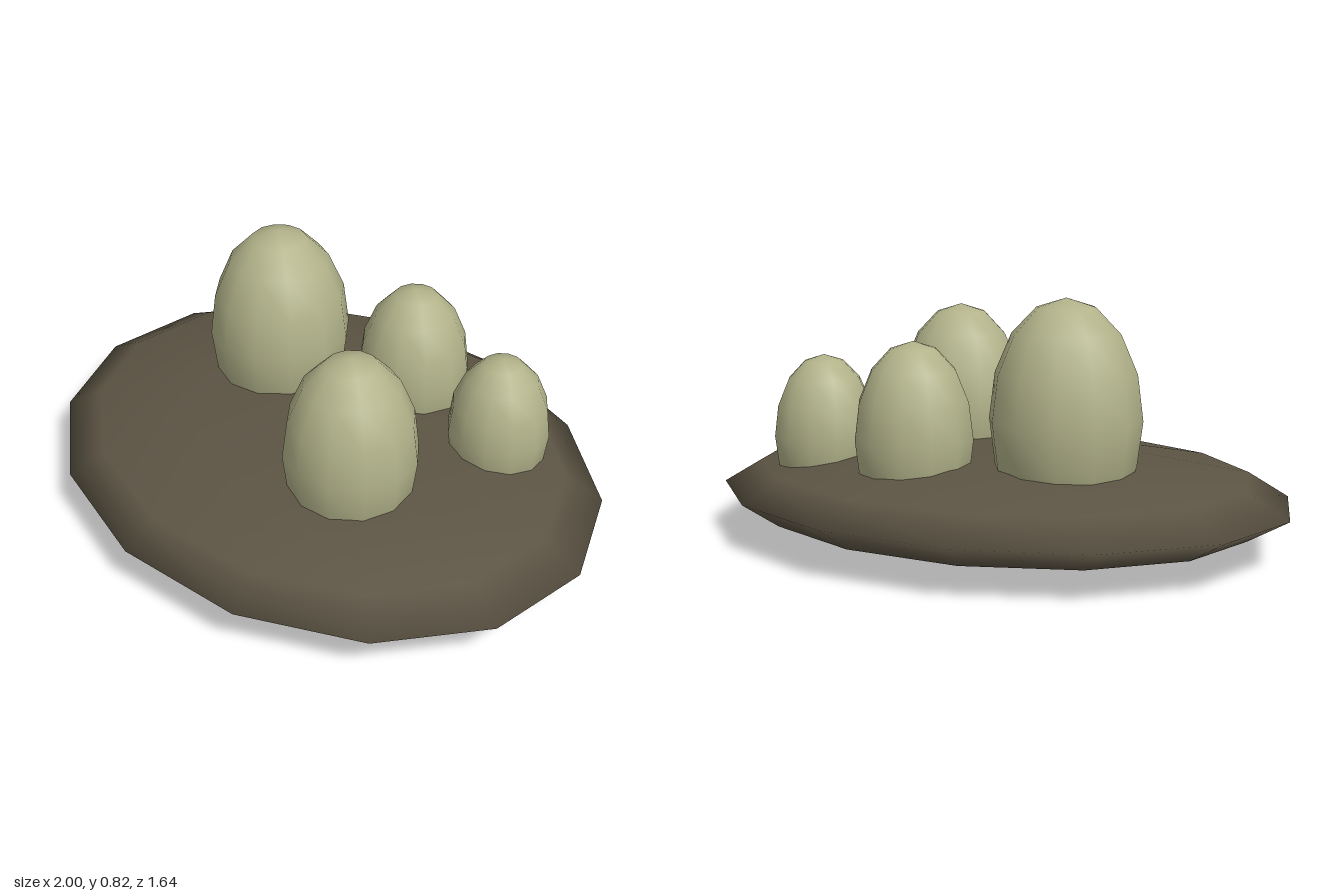
import * as THREE from 'three';

export function createModel() {
  const group = new THREE.Group();
  const shell = new THREE.MeshStandardMaterial({ color: 0xb2b38a });
  shell.name = 'pale olive shell';
  const earth = new THREE.MeshStandardMaterial({ color: 0x5c5444 });
  earth.name = 'dark earth';

  // Low-poly ellipsoid, smooth shaded
  function ellipsoid(name, material, sides, rings, [rx, ry, rz], [x, y, z]) {
    const geometry = new THREE.SphereGeometry(1, sides, rings);
    geometry.rotateY(Math.PI / 2); // puts a corner on the z axis
    geometry.scale(rx, ry, rz);
    const mesh = new THREE.Mesh(geometry, material);
    mesh.name = name;
    mesh.position.set(x, y, z);
    group.add(mesh);
  }

  // Flat lens-shaped mound
  ellipsoid('mound', earth, 14, 6, [1.025, 0.153, 0.82], [0, 0.156, 0]);

  // Eggs half sunk in the mound: x, z, radius, half height, centre height
  const eggs = [
    [-0.36, -0.105, 0.243, 0.38, 0.44],
    [0.305, 0.15, 0.22, 0.348, 0.402],
    [0.05, -0.36, 0.193, 0.31, 0.368],
    [0.46, -0.36, 0.17, 0.267, 0.338],
  ];
  eggs.forEach(([x, z, r, h, y], i) =>
    ellipsoid(`egg${i + 1}`, shell, 12, 8, [r, h, r], [x, y, z]));

  return group;
}
